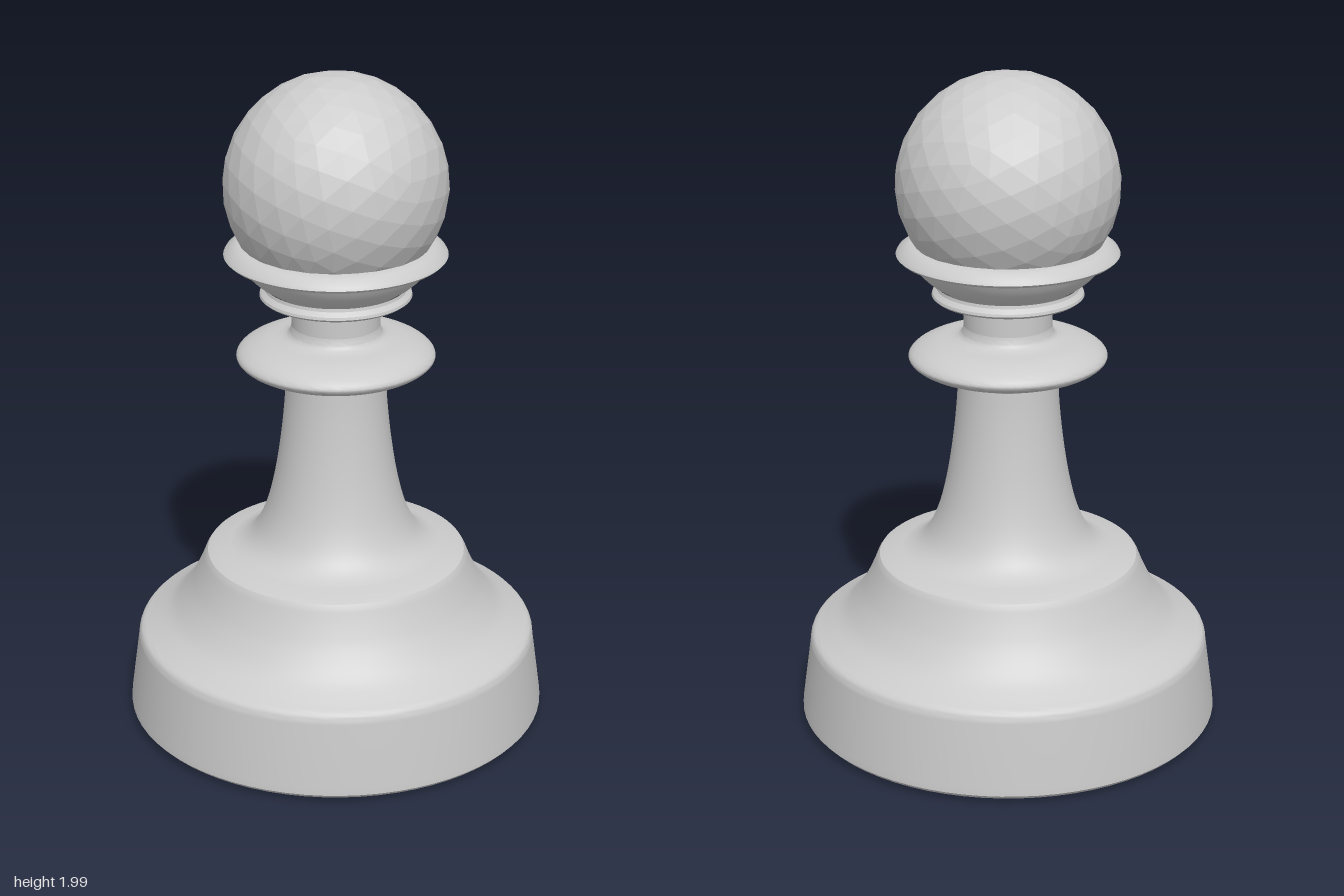
import * as THREE from 'three';
import { toCreasedNormals } from 'three/addons/utils/BufferGeometryUtils.js';

const material = new THREE.MeshStandardMaterial({ color: 0xcccccc });
const SIDES = 72;

const vecs = (pts) => pts.map(([r, y]) => new THREE.Vector2(r, y));
// Smooth run of profile points through the given radius/height pairs
const curve = (pts, n = 20) => new THREE.SplineCurve(vecs(pts)).getPoints(n);

// Turned part: profile listed from bottom to top, sharp edges kept
function turned(name, profile) {
  const geometry = toCreasedNormals(new THREE.LatheGeometry(profile, SIDES), 0.55);
  const mesh = new THREE.Mesh(geometry, material);
  mesh.name = name;
  return mesh;
}

export function createModel() {
  const pawn = new THREE.Group();
  pawn.name = 'pawn';

  // Tapered foot with a concave sweep up to the step
  pawn.add(turned('base', [
    ...vecs([[0, 0.008], [0.45, 0.009], [0.58, 0.016], [0.62, 0.022], [0.631, 0.034], [0.63, 0.055], [0.603, 0.25]]),
    ...curve([[0.602, 0.262], [0.592, 0.28], [0.56, 0.298], [0.5, 0.338], [0.45, 0.4], [0.418, 0.46], [0.395, 0.515]], 24),
    ...vecs([[0.388, 0.526], [0.37, 0.533], [0.3, 0.548]]),
  ]));

  // Flared stem
  pawn.add(turned('stem', curve([
    [0.37, 0.533], [0.3, 0.55], [0.25, 0.588], [0.213, 0.66], [0.186, 0.76],
    [0.166, 0.88], [0.153, 1.0], [0.148, 1.09],
  ], 32)));

  // Rounded disc collar, blended into stem and neck
  pawn.add(turned('collar', curve([
    [0.148, 1.085], [0.165, 1.107], [0.22, 1.117], [0.27, 1.132], [0.293, 1.155],
    [0.272, 1.18], [0.22, 1.202], [0.16, 1.213], [0.138, 1.226], [0.13, 1.25],
  ], 36)));

  pawn.add(turned('neck', vecs([[0.13, 1.25], [0.13, 1.34]])));

  // Thin ring below the cup
  pawn.add(turned('neckRing', vecs([
    [0.125, 1.334], [0.213, 1.335], [0.223, 1.343], [0.221, 1.351], [0.208, 1.363], [0.206, 1.372], [0.213, 1.378],
  ])));

  // Cup and flared rim that hold the head
  pawn.add(turned('cup', [
    ...curve([[0.205, 1.374], [0.235, 1.395], [0.262, 1.422], [0.285, 1.458]], 10),
    ...vecs([[0.318, 1.461], [0.326, 1.469], [0.321, 1.478], [0.297, 1.496], [0.285, 1.501], [0.262, 1.503]]),
  ]));

  // Faceted ball
  const ball = new THREE.IcosahedronGeometry(0.326, 4);
  const faceted = material.clone();
  faceted.flatShading = true;
  const head = new THREE.Mesh(ball, faceted);
  head.name = 'head';
  head.position.y = 1.675;
  head.rotation.set(0.3, 0.4, 0.2);
  pawn.add(head);

  return pawn;
}
